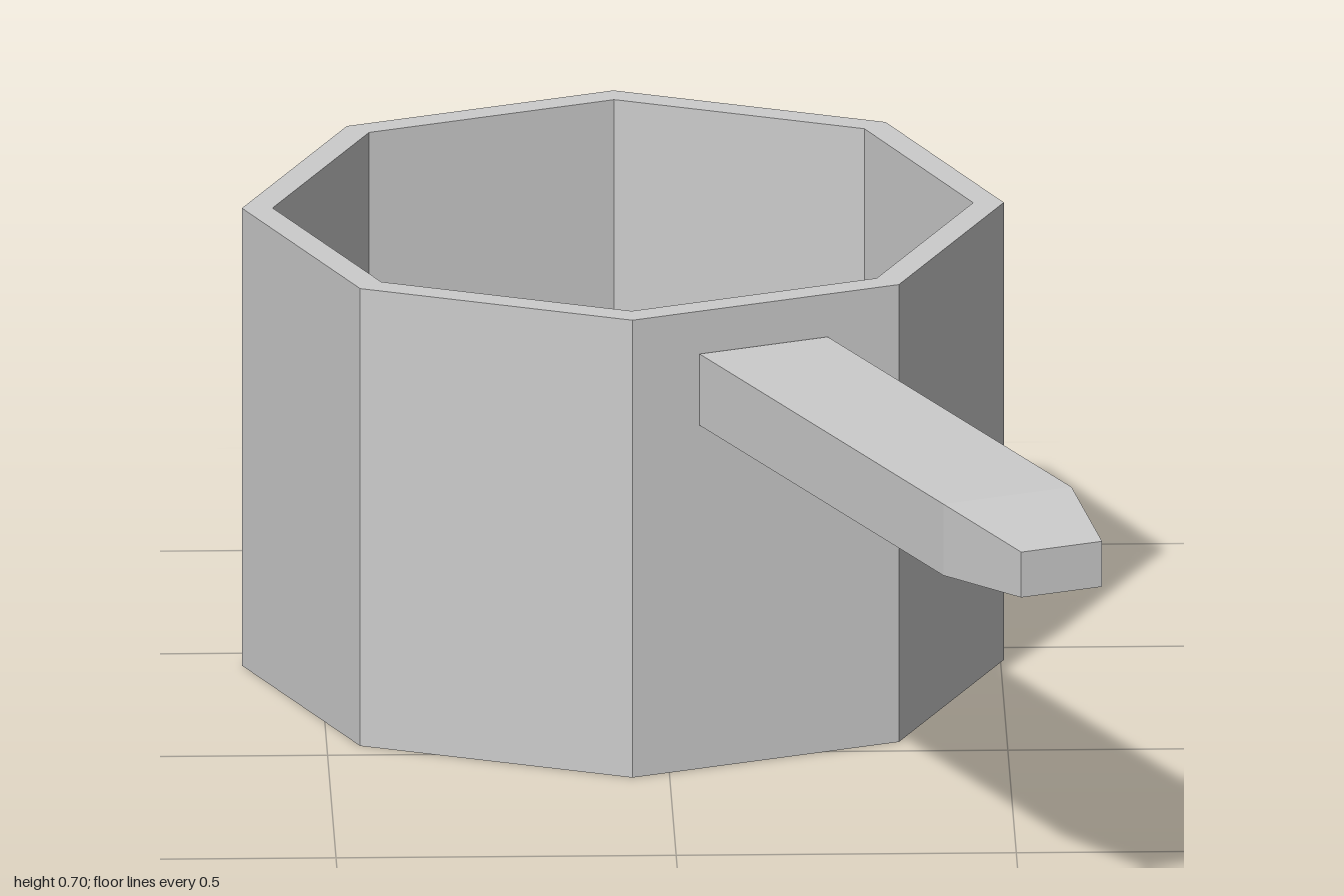
import * as THREE from 'three';

const material = new THREE.MeshStandardMaterial({ color: 0xcccccc, flatShading: true });

// Octagonal cup: outer wall, rim, inner wall and floor in one closed profile
function makeCup() {
  const outer = 0.56, inner = 0.515, height = 0.705, floor = 0.05;
  const profile = [
    [0, 0], [outer, 0], [outer, height], [inner, height], [inner, floor], [0, floor],
  ].map(([r, y]) => new THREE.Vector2(r, y));
  const cup = new THREE.Mesh(new THREE.LatheGeometry(profile, 8), material);
  cup.name = 'cup';
  cup.position.set(-0.055, 0, -0.44);
  return cup;
}

// Handle: rectangular sections parallel to the cup face, tapering at the tip
function makeHandle() {
  const turn = Math.PI / 8;
  const across = new THREE.Vector3(Math.cos(turn), 0, -Math.sin(turn));
  const midY = 0.585;
  const sections = [
    { x: 0.14, z: 0.042, width: 0.206, thickness: 0.11 },
    { x: 0.48, z: 0.782, width: 0.206, thickness: 0.11 },
    { x: 0.555, z: 0.97, width: 0.13, thickness: 0.07 },
  ];
  const rings = sections.map((s) =>
    [[-1, -1], [1, -1], [1, 1], [-1, 1]].map(([u, v]) =>
      new THREE.Vector3(s.x, midY + (v * s.thickness) / 2, s.z)
        .addScaledVector(across, (u * s.width) / 2)));

  const points = [];
  const quad = (a, b, c, d) => points.push(a, b, c, a, c, d);
  for (let k = 0; k < rings.length - 1; k++) {
    for (let i = 0; i < 4; i++) {
      const j = (i + 1) % 4;
      quad(rings[k][i], rings[k][j], rings[k + 1][j], rings[k + 1][i]);
    }
  }
  quad(...[...rings[0]].reverse());
  quad(...rings[rings.length - 1]);

  const geometry = new THREE.BufferGeometry().setFromPoints(points);
  geometry.computeVertexNormals();
  const handle = new THREE.Mesh(geometry, material);
  handle.name = 'handle';
  return handle;
}

export function createModel() {
  const group = new THREE.Group();
  group.name = 'measuringCup';
  group.add(makeCup(), makeHandle());
  return group;
}
